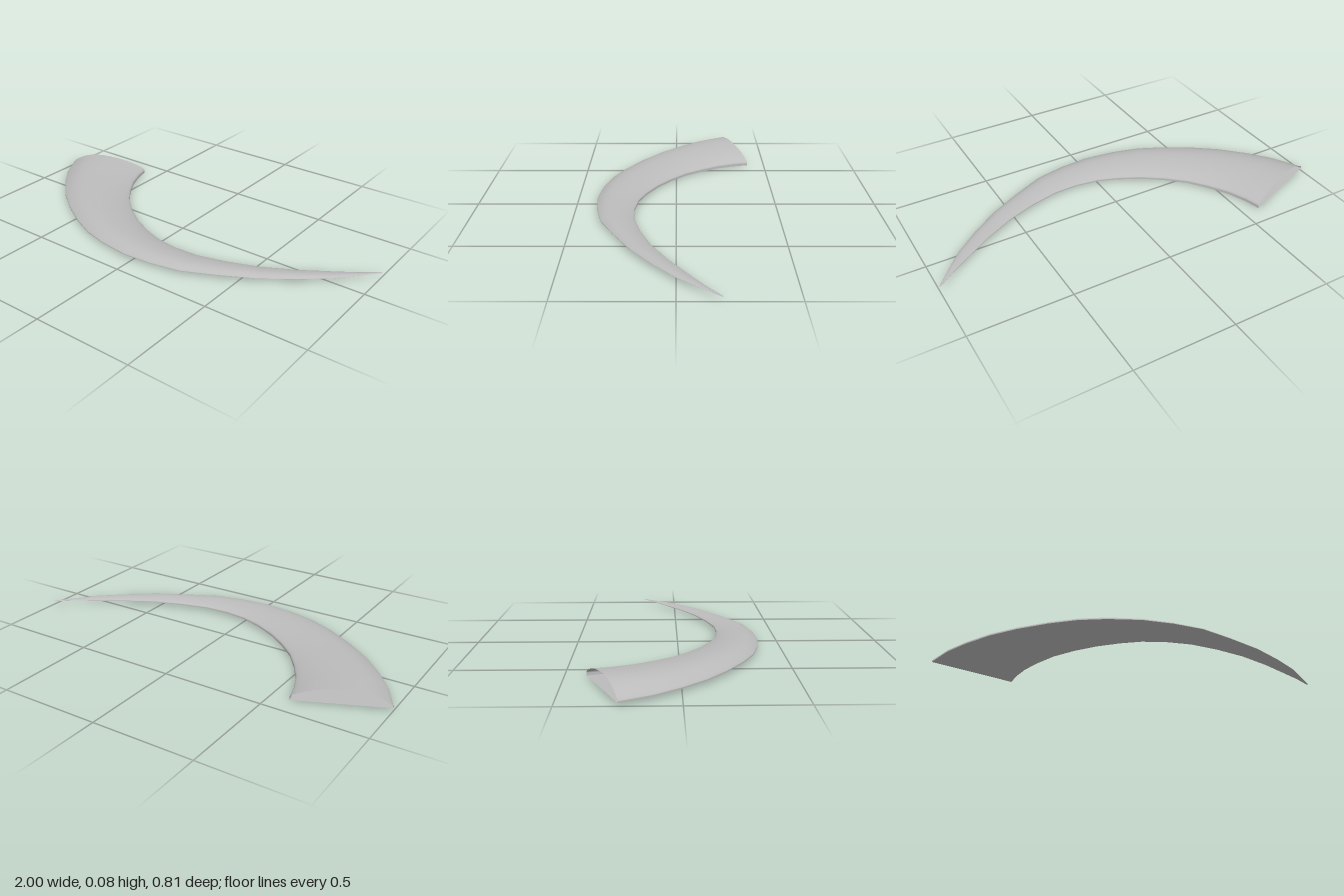
import * as THREE from 'three';

// Outer and inner edges of the crescent, paired as [x, z] from base to tip
const outer = [[-1, -.25], [-.92, -.11], [-.83, 0], [-.72, .11], [-.6, .2], [-.46, .285], [-.33, .345], [-.2, .38], [-.04, .4],
  [.11, .39], [.26, .36], [.41, .29], [.58, .2], [.72, .1], [.84, 0], [.93, -.1], [1, -.18]];
const inner = [[-.59, -.405], [-.57, -.33], [-.53, -.235], [-.47, -.14], [-.4, -.05], [-.31, .03], [-.21, .1], [-.1, .155], [0, .19],
  [.12, .205], [.24, .2], [.38, .165], [.53, .11], [.68, .03], [.82, -.06], [.91, -.12], [.992, -.184]];

// Sweeps a section of [across, height] points along the edges, scaled by the local width
function sweep(section) {
  const positions = [], indices = [], n = section.length;
  outer.forEach(([ox, oz], i) => {
    const [ix, iz] = inner[i];
    const scale = Math.hypot(ix - ox, iz - oz) / 0.44;
    for (const [u, h] of section) positions.push(ox + (ix - ox) * u, 0.022 + h * scale, oz + (iz - oz) * u);
    if (i === 0) return;
    for (let j = 0; j < n - 1; j++) {
      const a = (i - 1) * n + j, b = a + n;
      indices.push(a, b, a + 1, b, b + 1, a + 1);
    }
  });
  const geometry = new THREE.BufferGeometry();
  geometry.setAttribute('position', new THREE.Float32BufferAttribute(positions, 3));
  geometry.setIndex(indices);
  geometry.computeVertexNormals();
  return geometry;
}

export function createModel() {
  const group = new THREE.Group();
  group.name = 'curvedHorn';
  const grey = new THREE.MeshStandardMaterial({ color: 0xbcbcbc, side: THREE.DoubleSide });
  grey.name = 'light grey';

  const add = (name, section) => {
    const mesh = new THREE.Mesh(sweep(section), grey);
    mesh.name = name;
    group.add(mesh);
  };

  // Domed upper shell, rolling over into the short inner wall; the wide end stays open
  const profile = [[0, -.008], [0, 0], [.08, .024], [.2, .047], [.37, .058], [.58, .053], [.78, .037], [.93, .015], [1, -.003], [1, -.021]];
  const curve = new THREE.CatmullRomCurve3(profile.map(([u, h]) => new THREE.Vector3(u, h * 4, 0)));
  add('domedShell', curve.getPoints(27).map((p) => [Math.min(1, Math.max(0, p.x)), p.y / 4]));

  // Flat underside from the inner edge back to the outer edge
  add('underside', [[1, -.021], [.5, -.0145], [0, -.008]]);
  return group;
}
